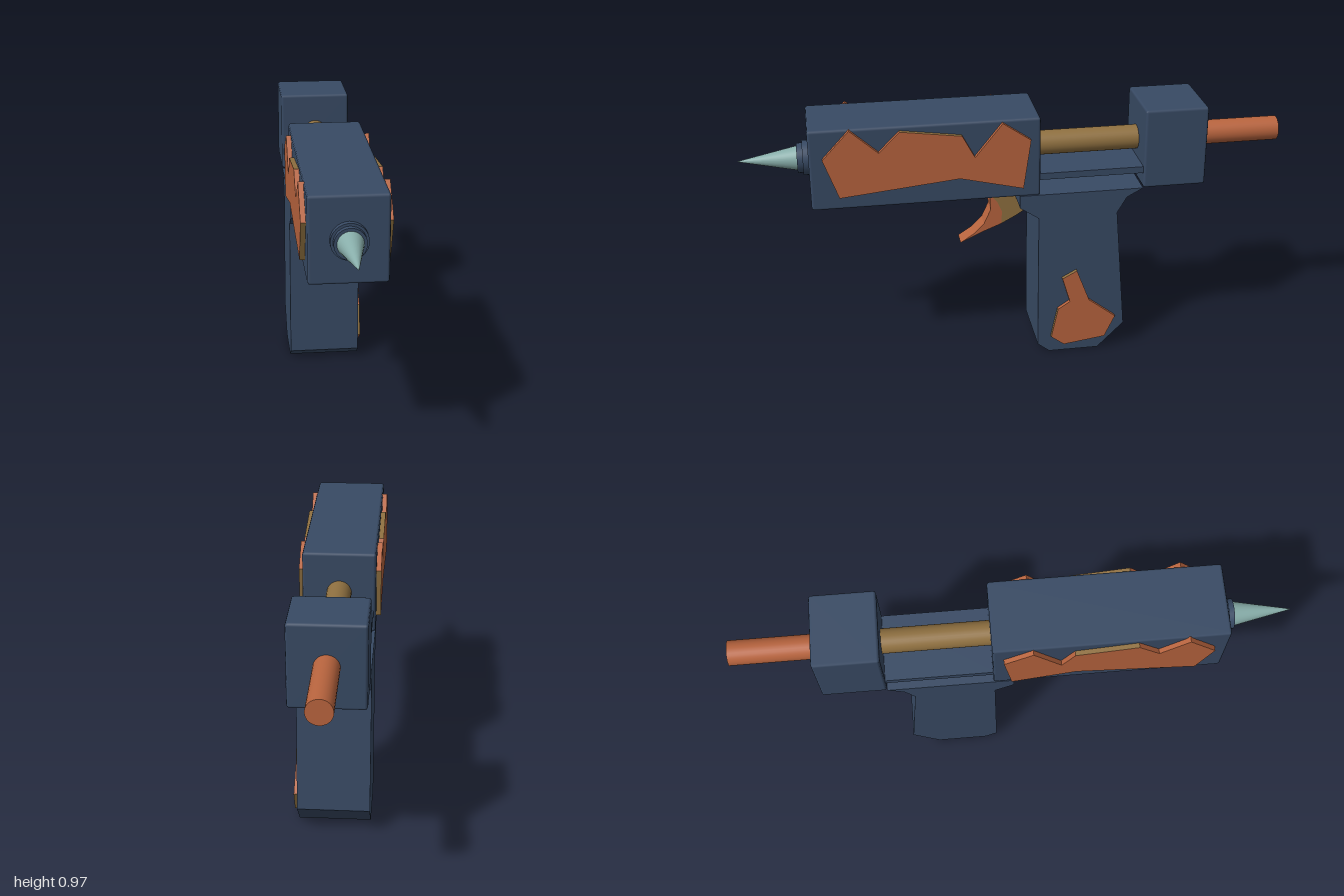
import * as THREE from 'three';
import { RoundedBoxGeometry } from 'three/addons/geometries/RoundedBoxGeometry.js';

const material = (name, color) => {
  const m = new THREE.MeshStandardMaterial({ color });
  m.name = name;
  return m;
};

export function createModel() {
  const model = new THREE.Group();
  model.name = 'toolGun';
  const blue = material('slateBlue', 0x384a64);
  const orange = material('rustOrange', 0xb8643e);
  const olive = material('oliveBrown', 0x8f7040);
  const teal = material('paleTeal', 0x88aeaa);

  const add = (name, geometry, mat) => {
    const mesh = new THREE.Mesh(geometry, mat);
    mesh.name = name;
    model.add(mesh);
    return mesh;
  };

  // Side profile given as [z, y] points, extruded from x0 to x1
  const profile = (points, x0, x1) => {
    const shape = new THREE.Shape(points.map(([z, y]) => new THREE.Vector2(z, y)));
    const g = new THREE.ExtrudeGeometry(shape, { depth: x1 - x0, bevelEnabled: false });
    g.rotateY(-Math.PI / 2);
    g.translate(x1, 0, 0);
    return g;
  };

  const box = (name, z0, z1) => {
    const g = new RoundedBoxGeometry(0.267, 0.303, z1 - z0, 1, 0.01);
    g.translate(0, 0.8185, (z0 + z1) / 2);
    add(name, g, blue);
  };

  // Round part along z; r0 is the radius at z0, r1 at z1
  const round = (name, z0, z1, r0, r1, mat) => {
    const g = new THREE.CylinderGeometry(r1, r0, z1 - z0, 32);
    g.rotateX(Math.PI / 2);
    g.translate(0, 0.82, (z0 + z1) / 2);
    add(name, g, mat);
  };

  // Body blocks and the bar joining them
  box('barrelBody', -0.075, 0.75);
  box('rearBlock', -0.695, -0.46);
  const bar = new THREE.BoxGeometry(0.25, 0.025, 0.4);
  bar.translate(0, 0.7375, -0.267);
  add('connectingBar', bar, blue);

  // Rod, collars and nozzle
  round('rodMiddle', -0.47, -0.06, 0.045, 0.045, olive);
  round('rodRear', -1, -0.68, 0.045, 0.045, orange);
  round('collarLarge', 0.745, 0.77, 0.063, 0.063, blue);
  round('collarSmall', 0.77, 0.79, 0.054, 0.054, blue);
  round('nozzle', 0.785, 1, 0.045, 0.001, teal);

  // Grip
  add('grip', profile([
    [0, 0.668], [0, 0.62], [-0.07, 0.573], [-0.07, 0.035], [-0.115, 0], [-0.305, 0],
    [-0.405, 0.1], [-0.365, 0.575], [-0.4, 0.635], [-0.46, 0.668],
  ], -0.133, 0.133), blue);

  // Trigger: olive root, orange blade
  add('triggerRoot', profile([
    [0.1, 0.67], [0.098, 0.64], [0.07, 0.605], [0.052, 0.565], [0.055, 0.515],
    [0, 0.545], [-0.055, 0.58], [0, 0.67],
  ], -0.034, 0.034), olive);
  add('triggerBlade', profile([
    [0.098, 0.64], [0.095, 0.575], [0.12, 0.52], [0.16, 0.48], [0.21, 0.447],
    [0.13, 0.485], [0.055, 0.515], [0.052, 0.565], [0.07, 0.605],
  ], -0.034, 0.034), orange);

  // Patch plate: orange, with the edge walls chosen by isOlive in olive
  const patch = (name, points, x0, x1, isOlive) => {
    const g = profile(points, x0, x1);
    const p = g.attributes.position;
    const [caps, walls] = g.groups.map((group) => ({ ...group }));
    g.clearGroups();
    g.addGroup(caps.start, caps.count, 0);
    for (let i = walls.start; i < walls.start + walls.count; i += 6) {
      let z = 0, y = 0;
      for (let k = 0; k < 6; k++) {
        z += p.getZ(i + k) / 6;
        y += p.getY(i + k) / 6;
      }
      g.addGroup(i, 6, isOlive(z, y) ? 1 : 0);
    }
    add(name, g, [orange, olive]);
  };

  // Jagged patches on both sides of the barrel
  const jagged = [
    [0.605, 0.97], [0.505, 0.88], [0.43, 0.955], [0.21, 0.925], [0.165, 0.84], [0.065, 0.963],
    [-0.037, 0.893], [-0.01, 0.707], [0.22, 0.762], [0.65, 0.717], [0.703, 0.865],
  ];
  const barrelOlive = (z, y) =>
    (z > 0.66 && y < 0.85) || (z > 0.3 && z < 0.34 && y > 0.9) || (z < 0 && y < 0.85);
  patch('barrelPatchLeft', jagged, 0.13, 0.149, barrelOlive);
  patch('barrelPatchRight', jagged, -0.151, -0.13, barrelOlive);

  // Patch on the left of the grip
  patch('gripPatch', [
    [-0.215, 0.35], [-0.265, 0.22], [-0.368, 0.14], [-0.328, 0.055], [-0.17, 0.033],
    [-0.12, 0.07], [-0.145, 0.19], [-0.19, 0.22], [-0.16, 0.32],
  ], 0.13, 0.148, (z, y) => y > 0.33 || (z > -0.14 && y > 0.1) || z < -0.34 || (z < -0.23 && y > 0.25));

  return model;
}
